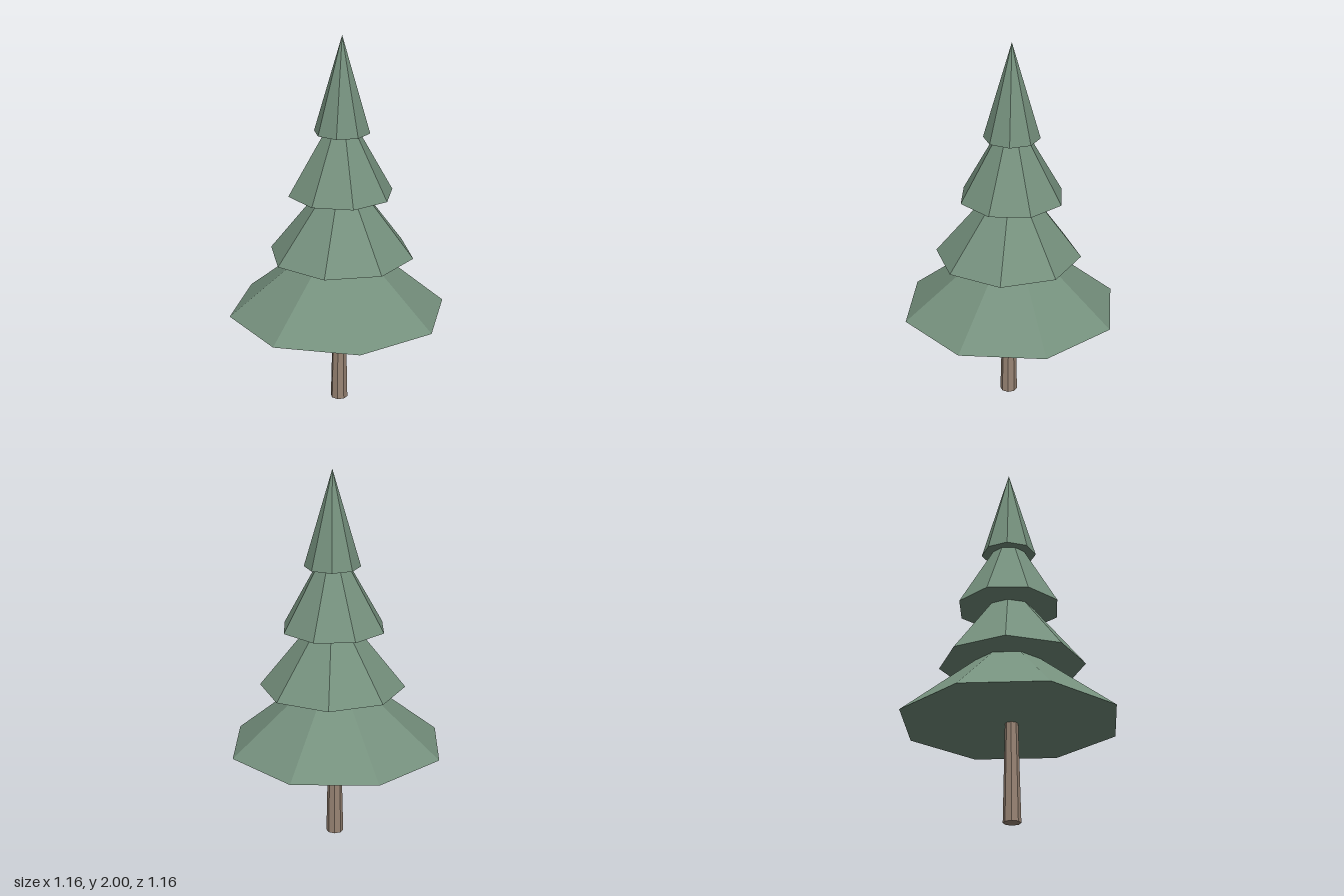
import * as THREE from 'three';

// Tapered eight-sided solid whose top may lean away from its base.
function taperedPart(name, material, { y, height, bottom, top = 0, base, tip, turn }) {
  const geometry = new THREE.CylinderGeometry(top, bottom, height, 8, 1, false, THREE.MathUtils.degToRad(turn));
  const p = geometry.attributes.position;
  for (let i = 0; i < p.count; i++) {
    const [cx, cz] = p.getY(i) > 0 ? tip : base;
    p.setXYZ(i, p.getX(i) + cx, p.getY(i) + y + height / 2, p.getZ(i) + cz);
  }
  geometry.computeVertexNormals();
  const mesh = new THREE.Mesh(geometry, material);
  mesh.name = name;
  return mesh;
}

export function createModel() {
  const needles = new THREE.MeshStandardMaterial({ color: 0x75907d, flatShading: true });
  needles.name = 'needle green';
  const bark = new THREE.MeshStandardMaterial({ color: 0x988474, flatShading: true });
  bark.name = 'bark brown';

  const tree = new THREE.Group();
  tree.name = 'pineTree';

  // Slim trunk, narrowing upwards into the lowest tier
  tree.add(taperedPart('trunk', bark, {
    y: 0, height: 0.56, bottom: 0.046, top: 0.033, base: [0.006, 0.012], tip: [0.008, 0.01], turn: 22.5,
  }));

  // Overlapping foliage cones, widest at the bottom, each turned a little
  const tiers = [
    { y: 0.52, height: 0.475, bottom: 0.58, base: [0, 0], tip: [0.015, -0.008], turn: 0 },
    { y: 0.845, height: 0.484, bottom: 0.383, base: [0.017, 0.017], tip: [0.024, 0], turn: 20.8 },
    { y: 1.172, height: 0.488, bottom: 0.277, base: [0.017, -0.002], tip: [0.022, 0], turn: 2 },
    { y: 1.5, height: 0.5, bottom: 0.146, base: [0.023, 0], tip: [0.023, 0], turn: 22.5 },
  ];
  tiers.forEach((tier, i) => tree.add(taperedPart(`foliageTier${i + 1}`, needles, tier)));

  return tree;
}
